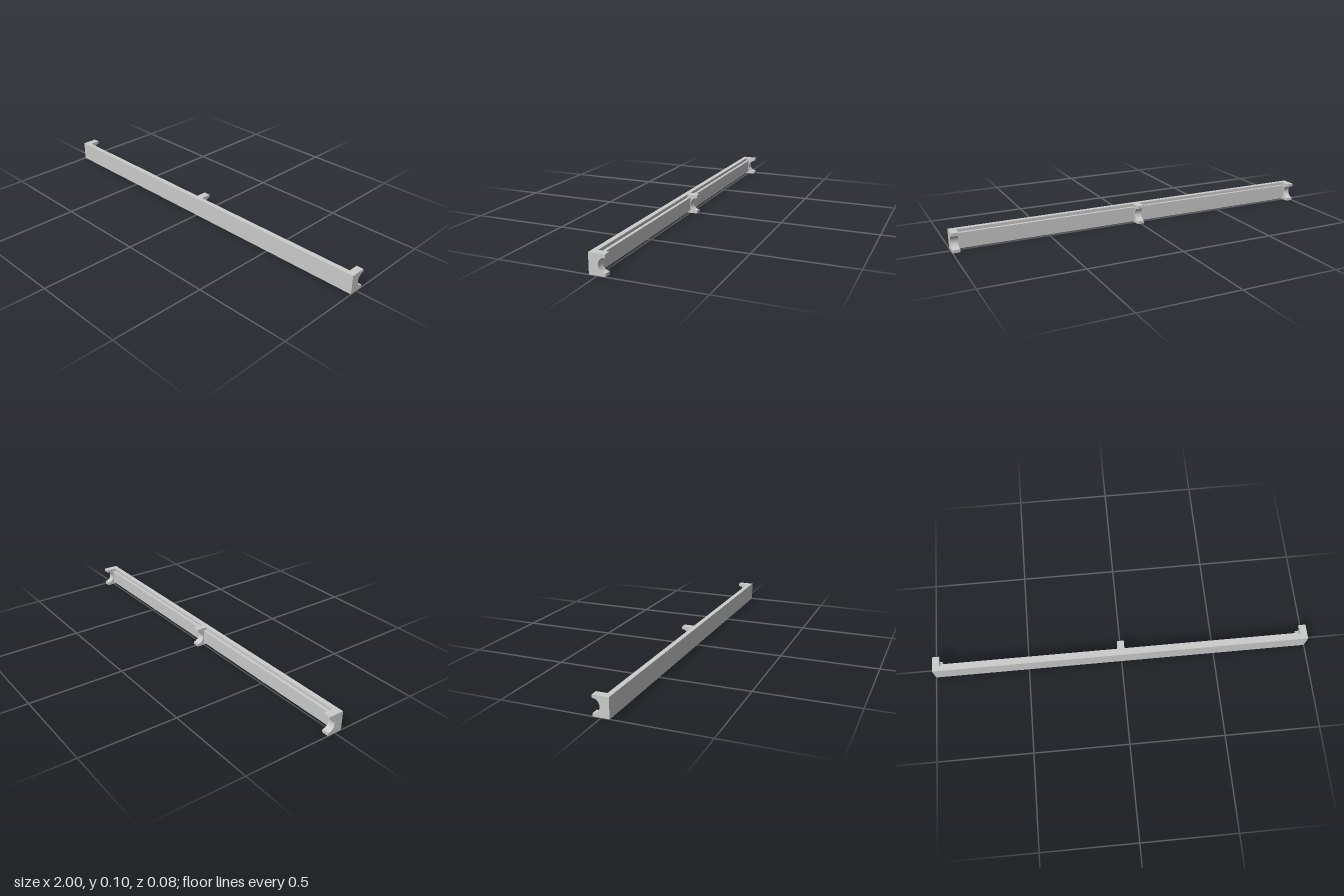
import * as THREE from 'three';

export function createModel() {
  const group = new THREE.Group();
  const material = new THREE.MeshStandardMaterial({ color: 0xcccccc });
  const height = 0.1, front = 0.04, clipWidth = 0.037;

  const add = (name, geometry, x, y, z) => {
    const mesh = new THREE.Mesh(geometry, material);
    mesh.name = name;
    mesh.position.set(x, y, z);
    group.add(mesh);
  };

  // Clip profile: shape x is -z, shape y is up; a half-round seat opens to the back
  const profile = new THREE.Shape();
  profile.moveTo(-front, 0);
  profile.lineTo(0.04, 0);
  profile.lineTo(0.04, 0.015);
  profile.absarc(0.04, 0.05, 0.035, -Math.PI / 2, -Math.PI * 1.5, true);
  profile.lineTo(0.04, height);
  profile.lineTo(-front, height);
  profile.closePath();
  const clip = new THREE.ExtrudeGeometry(profile, { depth: clipWidth, bevelEnabled: false, curveSegments: 32 });
  clip.rotateY(Math.PI / 2);
  clip.translate(-clipWidth / 2, 0, 0);

  // Two end clips and one in the middle
  const end = 1 - clipWidth / 2;
  for (const [name, x] of [['rightClip', -end], ['middleClip', 0], ['leftClip', end]]) add(name, clip, x, 0, 0);

  // Rails between clips: full-height front plate with a lower raised rib behind
  const length = 1 - clipWidth * 1.5;
  for (const [side, s] of [['left', 1], ['right', -1]]) {
    const x = s * (clipWidth / 2 + length / 2);
    add(side + 'FrontPlate', new THREE.BoxGeometry(length, height, 0.026), x, height / 2, 0.027);
    add(side + 'BackRib', new THREE.BoxGeometry(length, 0.07, 0.016), x, height / 2, 0.006);
  }
  return group;
}
